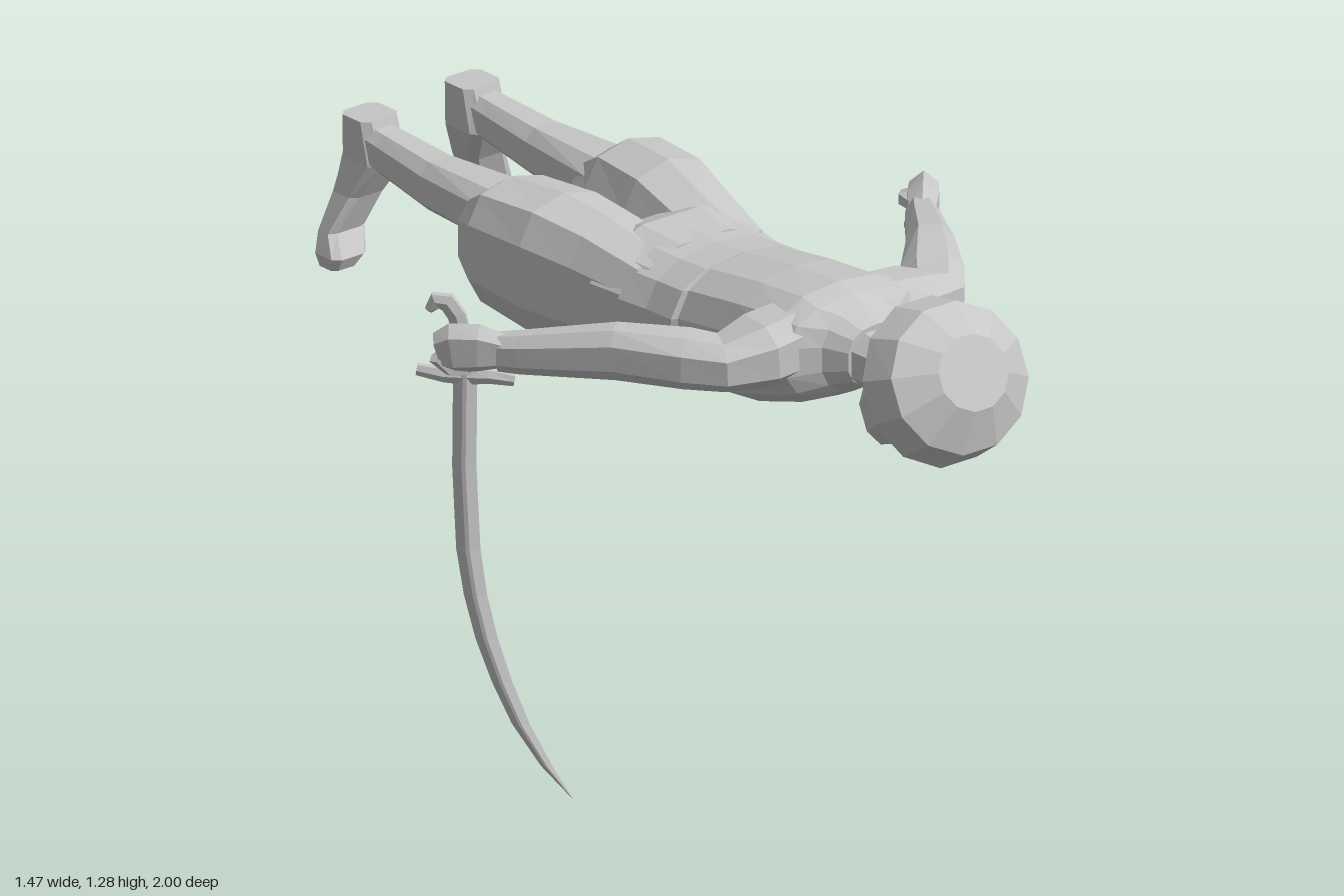
import * as THREE from 'three';

const gray = new THREE.MeshStandardMaterial({ color: 0xc6c6c6, flatShading: true });
gray.name = 'gray clay';

const V = (x, y, z) => new THREE.Vector3(x, y, z);

// Closed loft through rings [x, y, z, half width, half height]; axis fixed or following the path.
function loft(name, rings, { sides = 10, axis = null, up = V(0, 1, 0), power = 0.8 } = {}) {
  const pos = [], idx = [];
  const centre = rings.map((r) => V(r[0], r[1], r[2]));
  const soft = (v) => Math.sign(v) * Math.pow(Math.abs(v), power);
  const angles = Array.from({ length: sides }, (_, j) => ((j + 0.5) / sides) * Math.PI * 2);
  // unit outline, scaled so it reaches the full half width and half height
  const cs = angles.map((a) => soft(Math.cos(a))), sn = angles.map((a) => soft(Math.sin(a)));
  const maxC = Math.max(...cs), maxS = Math.max(...sn);
  rings.forEach((r, i) => {
    const dir = axis ? axis.clone() : centre[Math.min(i + 1, rings.length - 1)].clone().sub(centre[Math.max(i - 1, 0)]);
    dir.normalize();
    const side = up.clone().cross(dir).normalize();
    const top = dir.clone().cross(side);
    for (let j = 0; j < sides; j++) {
      const p = centre[i].clone()
        .addScaledVector(side, (cs[j] / maxC) * r[3])
        .addScaledVector(top, (sn[j] / maxS) * r[4]);
      pos.push(p.x, p.y, p.z);
    }
  });
  const last = rings.length - 1, c0 = rings.length * sides;
  pos.push(...centre[0].toArray(), ...centre[last].toArray());
  for (let j = 0; j < sides; j++) {
    const k = (j + 1) % sides;
    for (let i = 0; i < last; i++) {
      const a = i * sides + j, b = i * sides + k;
      idx.push(a, b, b + sides, a, b + sides, a + sides);
    }
    idx.push(c0, k, j, c0 + 1, last * sides + j, last * sides + k);
  }
  const g = new THREE.BufferGeometry();
  g.setAttribute('position', new THREE.Float32BufferAttribute(pos, 3));
  g.setIndex(idx);
  const flat = g.toNonIndexed();
  flat.computeVertexNormals();
  const mesh = new THREE.Mesh(flat, gray);
  mesh.name = name;
  return mesh;
}

// Head tilted back: s runs along its axis, t across it towards the back of the head
function buildHead() {
  const head = new THREE.Group();
  head.name = 'head';
  const axis = V(0, 0.42, 0.91).normalize();
  const ring = (s, t, w, h) => [0, 1.07 + 0.42 * s + 0.91 * t, 0.78 + 0.91 * s - 0.42 * t, w, h];
  head.add(
    loft('cap', [
      ring(0, 0, 0.145, 0.145), ring(0.065, 0.003, 0.198, 0.188),
      ring(0.155, 0.0, 0.186, 0.168), ring(0.21, 0.005, 0.095, 0.085),
    ], { axis, sides: 12, power: 1 }),
    loft('face', [
      ring(-0.165, -0.045, 0.05, 0.045), ring(-0.12, -0.035, 0.085, 0.082),
      ring(-0.05, -0.015, 0.102, 0.105), ring(0.03, 0, 0.115, 0.12),
    ], { axis, sides: 10 }),
    loft('nose', [
      ring(-0.09, -0.12, 0.018, 0.02), ring(-0.07, -0.122, 0.015, 0.018), ring(0, -0.1, 0.007, 0.012),
    ], { axis, sides: 4 }),
  );
  return head;
}

function buildLeg(s) {
  const leg = new THREE.Group();
  leg.name = s > 0 ? 'leftLeg' : 'rightLeg';
  const back = V(0, 0, -1);
  leg.add(
    loft('trouserLeg', [
      [s * 0.115, 1.05, 0.02, 0.095, 0.13], [s * 0.127, 1.065, -0.14, 0.12, 0.158],
      [s * 0.152, 1.08, -0.27, 0.132, 0.17], [s * 0.172, 1.095, -0.43, 0.128, 0.15],
      [s * 0.165, 1.1, -0.495, 0.108, 0.1],
    ], { axis: back, power: 0.72 }),
    loft('shin', [
      [s * 0.15, 1.14, -0.46, 0.086, 0.064], [s * 0.155, 1.14, -0.7, 0.058, 0.058],
      [s * 0.153, 1.16, -0.87, 0.048, 0.05], [s * 0.153, 1.17, -0.95, 0.048, 0.05],
    ], { axis: back, sides: 8, power: 0.7 }),
    loft('foot', [
      [s * 0.15, 1.23, -0.948, 0.053, 0.048], [s * 0.15, 1.13, -0.932, 0.055, 0.066],
      [s * 0.175, 1.05, -0.955, 0.053, 0.042], [s * 0.215, 0.965, -0.968, 0.054, 0.026],
      [s * 0.24, 0.92, -0.942, 0.05, 0.044], [s * 0.248, 0.89, -0.942, 0.036, 0.03],
    ], { axis: V(0, -1, 0), up: V(0, 0, 1), sides: 8, power: 0.5 }),
  );
  return leg;
}

function buildArm(s) {
  const arm = new THREE.Group();
  arm.name = s > 0 ? 'leftArm' : 'rightArm';
  arm.add(
    loft('sleeve', [
      [s * 0.13, 1.125, 0.48, 0.08, 0.08], [s * 0.22, 1.12, 0.478, 0.09, 0.075],
      [s * 0.31, 1.11, 0.46, 0.075, 0.057], [s * 0.36, 1.115, 0.4, 0.072, 0.061],
      [s * 0.46, 1.12, 0.275, 0.054, 0.06], [s * 0.59, 1.095, 0.095, 0.04, 0.046],
      [s * 0.62, 1.092, 0.055, 0.034, 0.042],
    ], { sides: 8 }),
    loft('hand', [
      [s * 0.61, 1.095, 0.07, 0.03, 0.04], [s * 0.65, 1.1, 0.025, 0.036, 0.057],
      [s * 0.69, 1.095, -0.02, 0.033, 0.06], [s * 0.71, 1.085, -0.045, 0.024, 0.045],
    ], { sides: 6 }),
    loft('fingers', [
      [s * 0.71, 1.08, -0.04, 0.022, 0.03], [s * 0.69, 1.045, -0.03, 0.027, 0.018], [s * 0.65, 1.037, -0.01, 0.022, 0.013],
    ], { sides: 6 }),
    loft('thumb', [
      [s * 0.62, 1.11, 0.03, 0.014, 0.016], [s * 0.635, 1.105, -0.02, 0.015, 0.017], [s * 0.665, 1.1, -0.055, 0.009, 0.011],
    ], { sides: 5 }),
  );
  return arm;
}

// Curved sword: all sections lie in one vertical plane, local x runs along the curve's lean
function buildSword() {
  const sword = new THREE.Group();
  sword.name = 'sword';
  // [lean, y, half width, half thickness]
  const spine = [[-0.003, 1.03, 0.027, 0.02], [-0.005, 0.8, 0.027, 0.02], [0.004, 0.6, 0.027, 0.019],
    [0.02, 0.49, 0.026, 0.018], [0.045, 0.385, 0.025, 0.017], [0.08, 0.28, 0.023, 0.015],
    [0.122, 0.18, 0.02, 0.013], [0.18, 0.08, 0.013, 0.008], [0.238, 0.003, 0.001, 0.001]];
  const blade = loft('blade', spine.map(([u, y, w, t]) => [u, y, 0, w, t]), {
    axis: V(0, -1, 0), up: V(0, 0, 1), sides: 8, power: 2,
  });
  const guard = loft('guard', [
    [-0.112, 1.03, 0, 0.012, 0.012], [-0.05, 1.02, 0, 0.016, 0.018], [0, 1.02, 0, 0.02, 0.02],
    [0.05, 1.02, 0, 0.016, 0.018], [0.108, 1.01, 0, 0.012, 0.01],
  ], { sides: 6, up: V(0, 0, 1) });
  const grip = loft('grip', [
    [0, 1.02, 0, 0.02, 0.018], [-0.005, 1.1, 0, 0.02, 0.018], [-0.022, 1.165, 0, 0.02, 0.017],
    [-0.043, 1.195, 0, 0.02, 0.017], [-0.07, 1.198, 0, 0.018, 0.016], [-0.085, 1.175, 0, 0.009, 0.012],
  ], { sides: 6, up: V(0, 0, 1) });
  sword.add(blade, guard, grip);
  sword.rotation.y = -Math.PI / 4;
  sword.position.set(-0.65, 0, -0.02);
  return sword;
}

export function createModel() {
  const figure = new THREE.Group();
  figure.name = 'lyingSwordsman';
  const axis = V(0, 0, -1);
  figure.add(
    loft('neck', [
      [0, 1.1, 0.76, 0.08, 0.07], [0, 1.095, 0.68, 0.07, 0.062], [0, 1.1, 0.54, 0.09, 0.075],
    ], { axis, sides: 8 }),
    loft('shirt', [
      [0, 1.105, 0.635, 0.085, 0.072], [0, 1.105, 0.585, 0.12, 0.098], [0, 1.105, 0.55, 0.195, 0.118],
      [0, 1.1, 0.5, 0.202, 0.138], [0, 1.072, 0.35, 0.2, 0.157], [0, 1.052, 0.18, 0.2, 0.155],
      [0, 1.05, 0.17, 0.212, 0.155], [0, 1.048, 0.08, 0.21, 0.153], [0, 1.05, 0, 0.224, 0.156],
    ], { axis, sides: 14 }),
    loft('hips', [
      [0, 1.05, 0.04, 0.21, 0.15], [0, 1.058, -0.08, 0.238, 0.156], [0, 1.065, -0.16, 0.2, 0.12],
    ], { axis, sides: 12 }),
    buildHead(),
    buildSword(),
  );
  for (const s of [-1, 1]) figure.add(buildArm(s), buildLeg(s));
  return figure;
}
